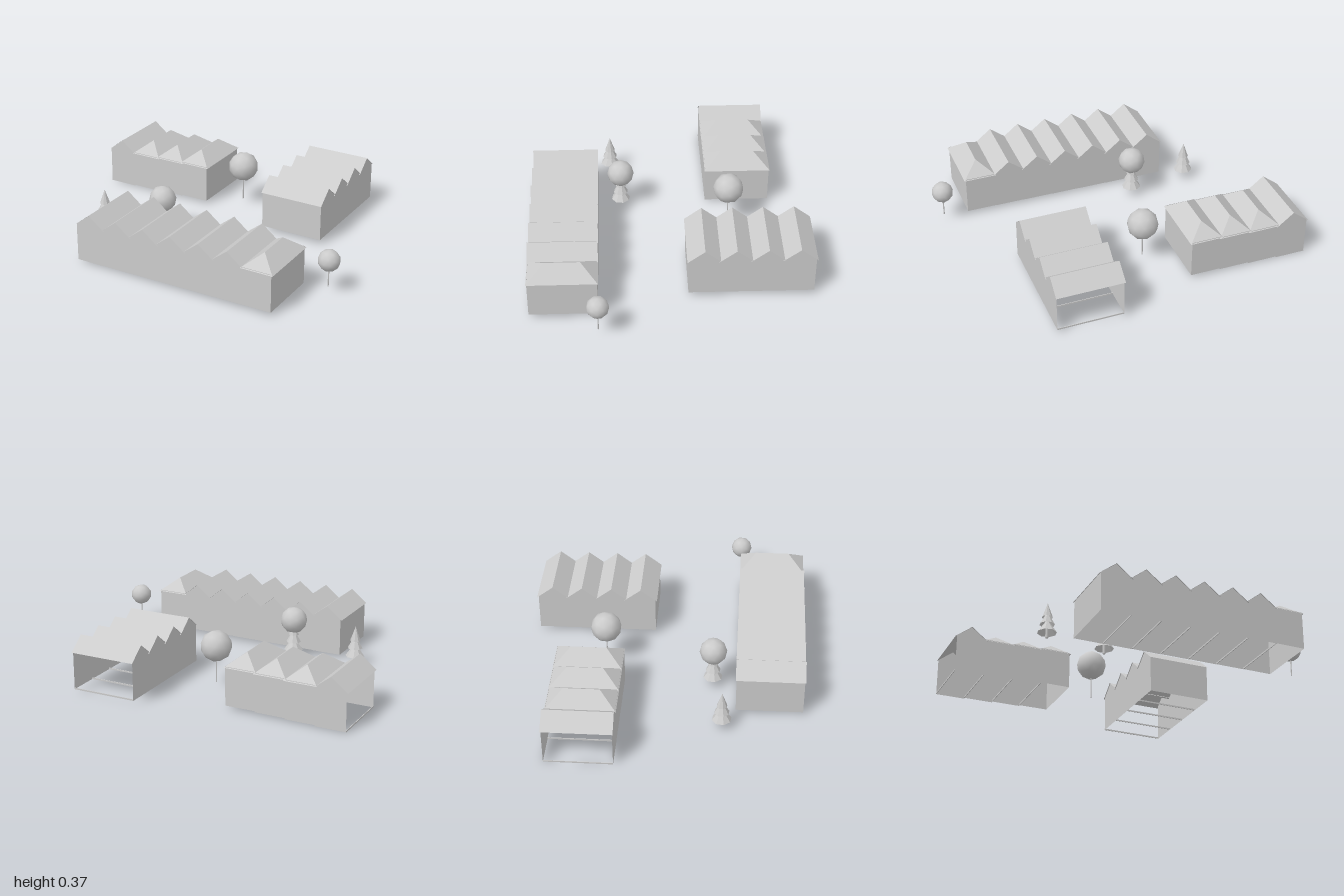
import * as THREE from 'three';

const PITCH = 0.196, HALF = 0.212, EAVE = 0.25, RISE = 0.077, OVER = 0.01, HIP = 0.105;
const shellMat = new THREE.MeshStandardMaterial({ color: 0xcccccc, flatShading: true, side: THREE.DoubleSide });
const smoothMat = new THREE.MeshStandardMaterial({ color: 0xcccccc });

// Thin shell from convex polygons, each a list of [x, y, z] corners in counter-clockwise order
function polyMesh(name, polys) {
  const pos = [];
  for (const p of polys)
    for (let i = 1; i < p.length - 1; i++) pos.push(...p[0], ...p[i], ...p[i + 1]);
  const geo = new THREE.BufferGeometry();
  geo.setAttribute('position', new THREE.Float32BufferAttribute(pos, 3));
  geo.computeVertexNormals();
  const mesh = new THREE.Mesh(geo, shellMat);
  mesh.name = name;
  return mesh;
}

// Thin tie across the open base of a bay
function baseTie(x) {
  const tie = new THREE.Mesh(new THREE.BoxGeometry(0.004, 0.01, HALF * 2), shellMat);
  tie.name = 'baseTie';
  tie.position.set(x, 0.005, 0);
  return tie;
}

// A row of narrow bays along local x, each with its own gabled or hipped roof
function building({ name, x, z, turn, bays, hipped, openEnd, low, high }) {
  const g = new THREE.Group();
  g.name = name;
  for (let i = 0; i < bays; i++) {
    const bay = new THREE.Group();
    bay.name = 'bay' + (i + 1);
    const c = (i - (bays - 1) / 2) * PITCH, x0 = c - PITCH / 2, x1 = c + PITCH / 2;
    const hip = hipped.includes(i);

    // Long walls and end walls, open underneath
    const face = s => {
      const w = [[x0, 0, s], [x1, 0, s], [x1, EAVE, s]];
      if (!hip) w.push([c, EAVE + RISE - 0.002, s]);
      return [...w, [x0, EAVE, s]];
    };
    const end = (ex, s) => [[ex, 0, s], [ex, 0, -s], [ex, EAVE, -s], [ex, EAVE, s]];
    const walls = [face(HALF), face(-HALF).reverse()];
    if (i === bays - 1) walls.push(end(x1, HALF));
    if (i === 0 && !openEnd) walls.push(end(x0, -HALF));
    bay.add(polyMesh('walls', walls));
    if (i > 0 || openEnd) bay.add(baseTie(x0));

    // Roof slopes overhang the walls and cross at the valleys
    const top = EAVE + RISE, reach = PITCH / 2 + OVER;
    const eave = top - RISE * reach / (PITCH / 2), w = HALF + 0.005, r = hip ? w - HIP : w;
    const roof = [];
    for (const s of [1, -1]) {
      roof.push([[c + s * reach, eave, s * w], [c + s * reach, eave, -s * w], [c, top, -s * r], [c, top, s * r]]);
      if (hip) roof.push([[c - s * reach, eave, s * w], [c + s * reach, eave, s * w], [c, top, s * r]]);
    }
    bay.add(polyMesh('roof', roof));

    // Bays follow the gentle fall of the site
    bay.position.y = low + (high - low) * i / (bays - 1);
    g.add(bay);
  }
  g.position.set(x, 0, z);
  g.rotation.y = turn;
  return g;
}

function trunk(bottom, top, r) {
  const m = new THREE.Mesh(new THREE.CylinderGeometry(r, r, top - bottom, 6), smoothMat);
  m.name = 'trunk';
  m.position.y = (bottom + top) / 2;
  return m;
}

function roundTree(x, y, z, r, base) {
  const g = new THREE.Group();
  g.name = 'roundTree';
  const crown = new THREE.Mesh(new THREE.IcosahedronGeometry(r, 1), smoothMat);
  crown.name = 'crown';
  crown.position.y = y;
  crown.rotation.set(x * 3, z * 5, 0.4);
  g.add(crown, trunk(base, y, 0.004));
  g.position.set(x, 0, z);
  return g;
}

function conifer(x, z) {
  const g = new THREE.Group();
  g.name = 'conifer';
  g.add(trunk(0.025, 0.1, 0.01));
  // Three stacked tiers of branches, hollow underneath
  [[0.06, 0.15, 0.062], [0.115, 0.205, 0.048], [0.165, 0.262, 0.034]].forEach(([y0, y1, r]) => {
    const tier = new THREE.Mesh(new THREE.ConeGeometry(r, y1 - y0, 8, 1, true), shellMat);
    tier.name = 'tier';
    tier.position.y = (y0 + y1) / 2;
    g.add(tier);
  });
  g.position.set(x, 0, z);
  return g;
}

export function createModel() {
  const model = new THREE.Group();
  model.name = 'courtyardBuildings';
  const skew = 0.241;
  model.add(
    building({ name: 'longBuilding', x: 0.01, z: 0.615, turn: -skew, bays: 7, hipped: [6], openEnd: false, low: 0.014, high: 0.024 }),
    building({ name: 'sideBuilding', x: 0.585, z: -0.443, turn: -Math.PI / 2 - skew, bays: 4, hipped: [], openEnd: true, low: 0.025, high: 0.026 }),
    building({ name: 'backBuilding', x: -0.515, z: -0.693, turn: -skew, bays: 4, hipped: [1, 2, 3], openEnd: true, low: 0, high: 0.02 }),
    roundTree(0.055, 0.275, -0.475, 0.1, 0.035),
    roundTree(-0.31, 0.265, 0.16, 0.088, 0.03),
    roundTree(0.885, 0.22, 0.61, 0.07, 0.045),
    conifer(-0.725, 0.13),
    conifer(-0.31, 0.16)
  );
  return model;
}
